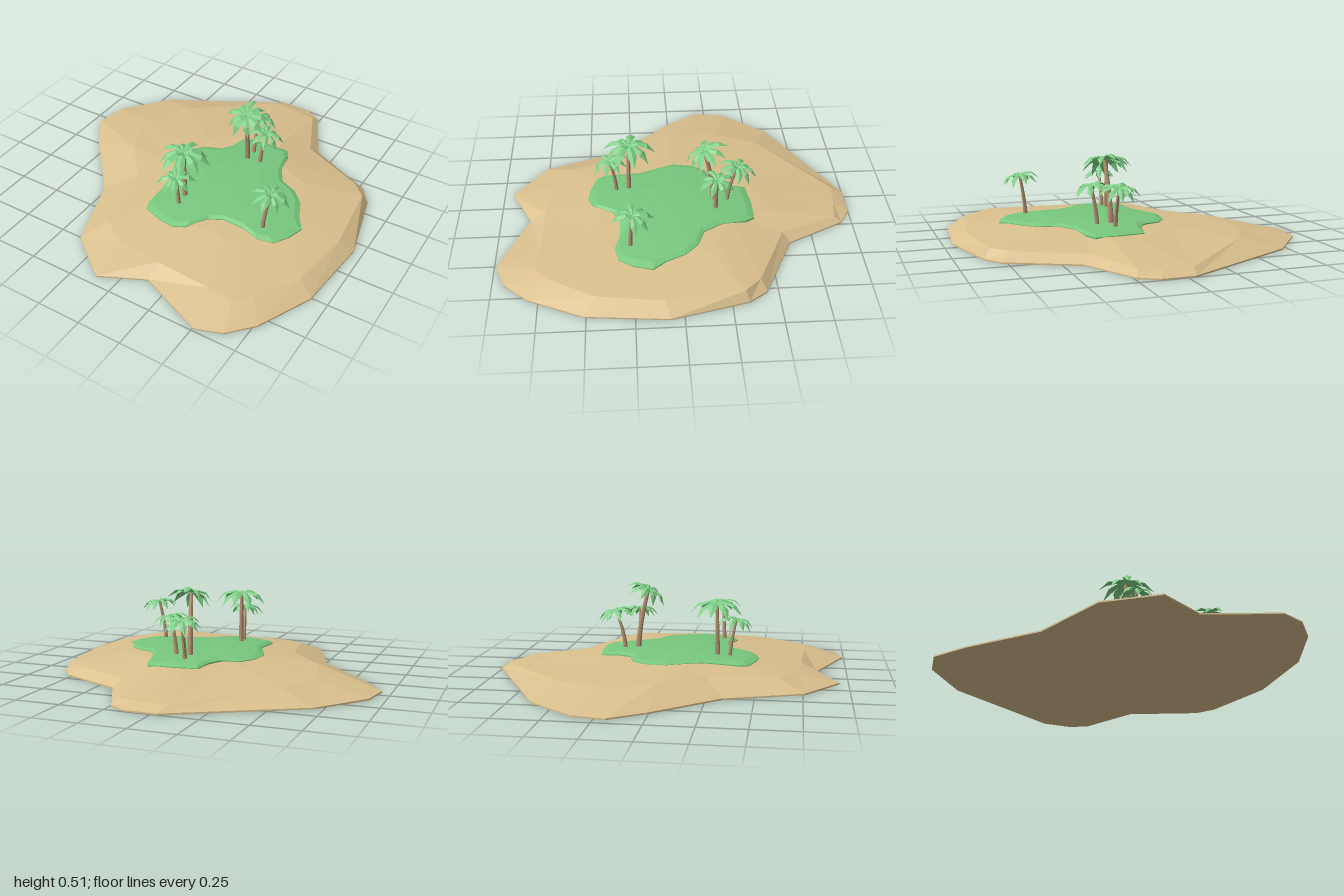
import * as THREE from 'three';

const mat = (name, color, side = THREE.FrontSide) => {
  const m = new THREE.MeshStandardMaterial({ color, side, flatShading: true });
  m.name = name;
  return m;
};

// Faceted surface from triangles, leaving out empty ones
function facets(triangles) {
  const pos = [];
  for (const [a, b, c] of triangles) {
    if (new THREE.Triangle(a, b, c).getArea() > 1e-7) {
      for (const v of [a, b, c]) pos.push(v.x, v.y, v.z);
    }
  }
  const g = new THREE.BufferGeometry();
  g.setAttribute('position', new THREE.Float32BufferAttribute(pos, 3));
  g.computeVertexNormals();
  return g;
}

// Skin closed rings of equal length, from the underside up to the summit
function loftRings(rings) {
  const tris = [];
  for (let r = 0; r + 1 < rings.length; r++) {
    const a = rings[r], b = rings[r + 1];
    a.forEach((p, i) => {
      const j = (i + 1) % a.length;
      tris.push([a[j], p, b[i]], [a[j], b[i], b[j]]);
    });
  }
  return facets(tris);
}

const CENTRE = [0.2, 0.05];
const UP = new THREE.Vector3(0, 1, 0);
const dome = (x, z) => 0.118 - 0.09 * (x - 0.15) ** 2 - 0.1 * (z - 0.03) ** 2;
// Copy of an outline shrunk towards the island centre, with heights by rule
const shrink = (outline, s, height) => outline.map(([px, pz]) => {
  const x = CENTRE[0] + (px - CENTRE[0]) * s, z = CENTRE[1] + (pz - CENTRE[1]) * s;
  return new THREE.Vector3(x, height(x, z), z);
});

// Shoreline x, z
const SHORE = [
  [-0.04, -1], [0.14, -1], [0.24, -0.94], [0.40, -0.62], [0.78, -0.44], [0.85, -0.34], [0.95, 0.07],
  [0.91, 0.51], [0.77, 0.81], [0.65, 0.94], [0.51, 0.99], [0.13, 0.83], [-0.12, 0.95], [-0.37, 0.76],
  [-0.52, 0.34], [-0.82, 0], [-0.95, -0.19], [-0.92, -0.37], [-0.71, -0.63]];
// Top of the beach slope x, z, y, matching the shoreline point by point
const BANK = [
  [-0.06, -0.93, 0.035], [0.10, -0.92, 0.035], [0.22, -0.90, 0.035], [0.36, -0.58, 0.05],
  [0.73, -0.41, 0.055], [0.82, -0.32, 0.06], [0.87, 0.10, 0.06], [0.82, 0.45, 0.06],
  [0.68, 0.70, 0.06], [0.60, 0.77, 0.06], [0.45, 0.76, 0.06], [0.13, 0.74, 0.06],
  [-0.12, 0.72, 0.06], [-0.28, 0.62, 0.065], [-0.35, 0.23, 0.085], [-0.55, 0, 0.085],
  [-0.60, -0.17, 0.075], [-0.60, -0.30, 0.07], [-0.50, -0.54, 0.065]];
// Edge of the grass x, z
const LAWN = [
  [0, -0.41], [0.15, -0.43], [0.28, -0.43], [0.31, -0.38], [0.34, -0.24], [0.40, -0.14], [0.50, -0.10],
  [0.57, -0.03], [0.62, 0.08], [0.67, 0.15], [0.64, 0.25], [0.59, 0.33], [0.50, 0.35], [0.40, 0.32],
  [0.28, 0.32], [0.20, 0.36], [0.13, 0.47], [0.06, 0.50], [-0.02, 0.49], [-0.14, 0.45], [-0.16, 0.40],
  [-0.16, 0.20], [-0.24, 0], [-0.22, -0.12], [-0.17, -0.19], [-0.06, -0.23], [-0.02, -0.30]];

// One folded, drooping palm leaf, turned about the crown by the given angle
function leafTriangles(angle, length, droop) {
  const sections = [[0, 0, 0.03], [0.32, 0.13, 0.12], [0.68, 0.05, 0.17], [1, -0.34, 0]];
  const place = (x, y, z) =>
    new THREE.Vector3(x, y, z).multiplyScalar(length).applyAxisAngle(UP, angle);
  const rows = sections.map(([x, y, w]) => {
    const h = y - droop * x * x;
    return [place(x, h - w * 0.5, w), place(x, h, 0), place(x, h - w * 0.5, -w)];
  });
  const tris = [];
  for (let i = 0; i < 3; i++) {
    for (let k = 0; k < 2; k++) {
      const [a, b, c, d] = [rows[i][k], rows[i + 1][k], rows[i + 1][k + 1], rows[i][k + 1]];
      tris.push([a, b, c], [a, c, d]);
    }
  }
  return tris;
}

function palm({ base, top, radius, leaves, tilt = [0, 0], turn = 0, thick = 0.015 }, bark, leafMat) {
  const tree = new THREE.Group();
  tree.name = 'palmTree';
  const foot = dome(base[0], base[1]) - 0.005;
  const height = top[1] - foot;

  // Tapered trunk, bent towards the crown
  const g = new THREE.CylinderGeometry(thick * 0.62, thick, height, 7, 5);
  g.translate(0, height / 2, 0);
  const p = g.attributes.position;
  for (let i = 0; i < p.count; i++) {
    const t = Math.max(0, p.getY(i) / height) ** 1.6;
    p.setX(i, p.getX(i) + (top[0] - base[0]) * t);
    p.setZ(i, p.getZ(i) + (top[2] - base[1]) * t);
  }
  g.computeVertexNormals();
  const trunk = new THREE.Mesh(g, bark);
  trunk.name = 'trunk';
  trunk.position.set(base[0], foot, base[1]);

  // Crown of leaves, alternately long and short
  const tris = [];
  for (let i = 0; i < leaves; i++) {
    const odd = i % 2;
    tris.push(...leafTriangles(turn + i * Math.PI * 2 / leaves, radius * (odd ? 0.9 : 1), odd ? 0.16 : 0));
  }
  const crown = new THREE.Mesh(facets(tris), leafMat);
  crown.name = 'crown';
  crown.position.set(...top);
  crown.rotation.set(tilt[0], 0, tilt[1]);
  tree.add(trunk, crown);
  return tree;
}

export function createModel() {
  const sand = mat('sand', 0xdac08e);
  const grass = mat('grass', 0x78c87e);
  const bark = mat('bark', 0xb39272);
  const leaf = mat('palmLeaf', 0x7fd088, THREE.DoubleSide);
  const island = new THREE.Group();
  island.name = 'palmIsland';

  // Sandy ground with a flat underside
  const beach = new THREE.Mesh(loftRings([
    shrink(SHORE, 0, () => 0),
    shrink(SHORE, 1, () => 0),
    shrink(SHORE, 1, () => 0.008),
    BANK.map(([x, z, y]) => new THREE.Vector3(x, y, z)),
    shrink(BANK, 0.55, dome),
    shrink(BANK, 0, dome),
  ]), sand);
  beach.name = 'beach';

  // Grass patch with its edge sunk into the sand
  const lawn = new THREE.Mesh(loftRings([
    shrink(LAWN, 1, (x, z) => dome(x, z) - 0.015),
    shrink(LAWN, 1, (x, z) => dome(x, z) + 0.002),
    shrink(LAWN, 0.92, (x, z) => dome(x, z) + 0.012),
    shrink(LAWN, 0.5, (x, z) => dome(x, z) + 0.016),
    shrink(LAWN, 0, (x, z) => dome(x, z) + 0.017),
  ]), grass);
  lawn.name = 'grassPatch';
  island.add(beach, lawn);

  // Palms: base x, z and crown x, y, z
  const palms = [
    { base: [-0.005, 0.265], top: [-0.01, 0.41, 0.26], radius: 0.155, leaves: 9, turn: 0.2 },
    { base: [0, 0.335], top: [0.005, 0.32, 0.37], radius: 0.11, leaves: 8, tilt: [0.2, 0], turn: 0.5, thick: 0.012 },
    { base: [0.49, 0.265], top: [0.525, 0.34, 0.25], radius: 0.115, leaves: 8, tilt: [0, -0.15], turn: 0.1, thick: 0.013 },
    { base: [0.125, -0.215], top: [0.14, 0.465, -0.155], radius: 0.13, leaves: 9, tilt: [0.45, 0], turn: 0.3, thick: 0.017 },
    { base: [0.125, -0.29], top: [0.12, 0.335, -0.345], radius: 0.12, leaves: 9, tilt: [-0.2, 0], thick: 0.013 },
    { base: [0.205, -0.22], top: [0.24, 0.335, -0.22], radius: 0.11, leaves: 8, tilt: [0, -0.2], turn: 0.4, thick: 0.013 },
  ];
  for (const spec of palms) island.add(palm(spec, bark, leaf));
  return island;
}
